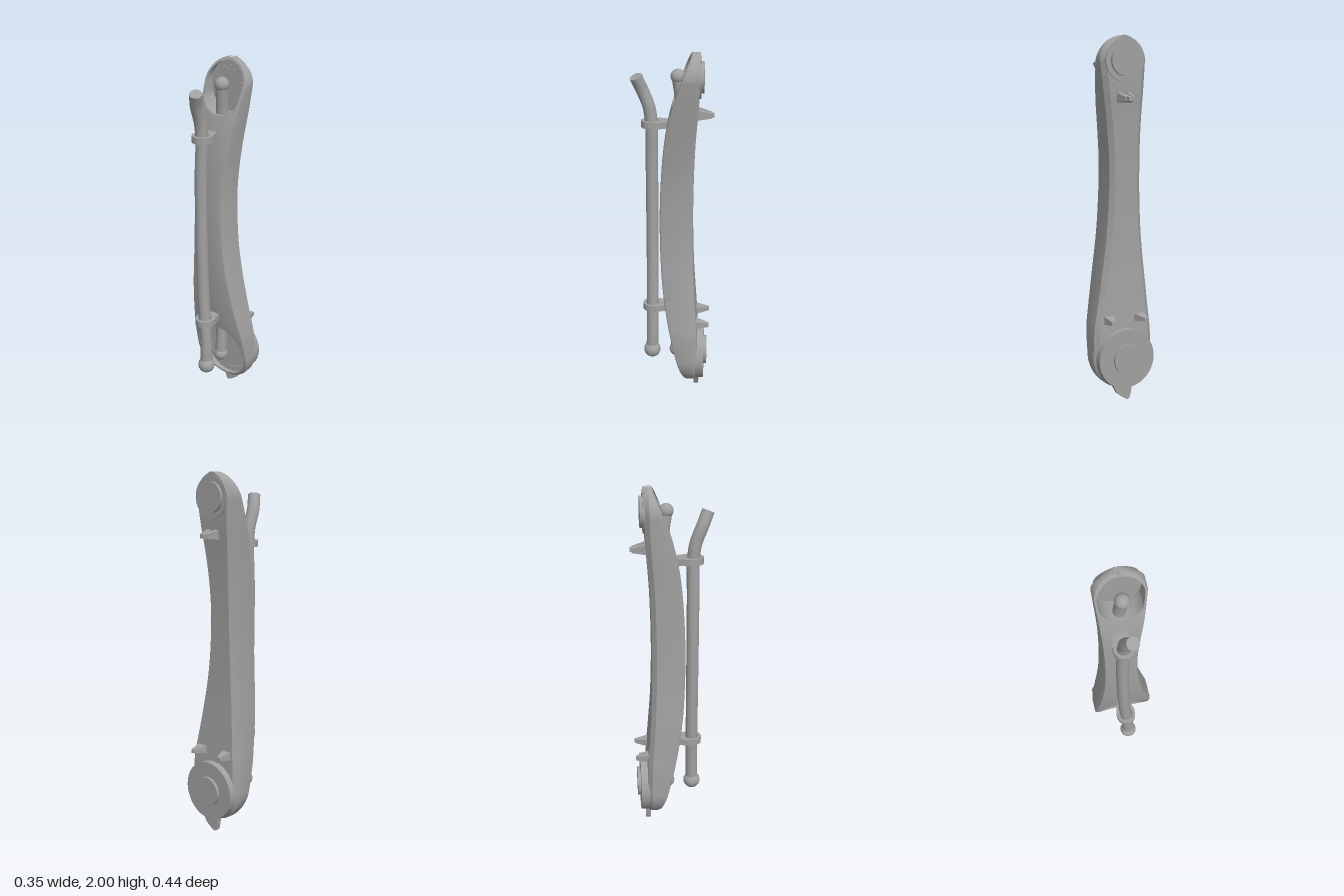
import * as THREE from 'three';
import { toCreasedNormals } from 'three/addons/utils/BufferGeometryUtils.js';

// Smooth interpolation through rows of [y, value, value, ...]
function sample(table, y, col) {
  let i = 0;
  while (i < table.length - 2 && y > table[i + 1][0]) i++;
  const slope = (k) => {
    const a = table[Math.max(k - 1, 0)], b = table[Math.min(k + 1, table.length - 1)];
    return (b[col] - a[col]) / (b[0] - a[0]);
  };
  const p = table[i], q = table[i + 1], h = q[0] - p[0];
  const t = THREE.MathUtils.clamp((y - p[0]) / h, 0, 1), t2 = t * t, t3 = t2 * t;
  return (2 * t3 - 3 * t2 + 1) * p[col] + (t3 - 2 * t2 + t) * h * slope(i)
    + (3 * t2 - 2 * t3) * q[col] + (t3 - t2) * h * slope(i + 1);
}

const LOW = { y: 0.245, r: 0.176 }, HIGH = { y: 1.868, r: 0.132 };
// y, width to the right (-x), width to the left (+x)
const WIDTH = [[0.245, 0.176, 0.176], [0.4, 0.171, 0.168], [0.5, 0.162, 0.15], [0.65, 0.15, 0.122],
  [0.9, 0.129, 0.083], [1.1, 0.12, 0.067], [1.3, 0.117, 0.064], [1.5, 0.118, 0.08],
  [1.7, 0.125, 0.108], [1.868, 0.132, 0.132]];
// y, front z, back z
const DEPTH = [[0.07, -0.09, -0.15], [0.2, -0.045, -0.15], [0.4, 0.003, -0.145], [0.6, 0.038, -0.132],
  [0.8, 0.058, -0.12], [1.1, 0.066, -0.114], [1.4, 0.053, -0.12], [1.6, 0.029, -0.132],
  [1.72, 0, -0.142], [1.88, -0.056, -0.148], [2, -0.105, -0.148]];
const FLOOR = -0.11;
const POCKETS = [{ y: 0.262, rx: 0.16, ry: 0.178 }, { y: 1.848, rx: 0.122, ry: 0.138 }];

function widthAt(y, col) {
  for (const [end, s] of [[LOW, -1], [HIGH, 1]]) {
    const d = (y - end.y) * s;
    if (d > 0) return Math.sqrt(Math.max(end.r ** 2 - d * d, 0));
  }
  return sample(WIDTH, y, col);
}

// One closed cross-section of the arm, with the end pockets cut into its front
function section(y) {
  const R = widthAt(y, 2), L = widthAt(y, 1);
  const zf = sample(DEPTH, y, 1), zb = sample(DEPTH, y, 2);
  const e = Math.min(0.012, R * 0.4), c = Math.min(0.025, R * 0.5);
  let pocket = 0, floor = zf;
  for (const p of POCKETS) {
    const d = (y - p.y) / p.ry;
    if (Math.abs(d) < 1) {
      pocket = p.rx * Math.sqrt(1 - d * d);
      floor = Math.min(FLOOR, zf - 0.003);
    }
  }
  const pr = Math.min(pocket, Math.max(R - e - 0.003, 0));
  const pl = Math.min(pocket, Math.max(L - e - 0.003, 0));
  return [[R - c, zb], [R, zb + c], [R, zf - e], [R - e * 0.3, zf - e * 0.3], [R - e, zf],
    [pr, zf], [pr, floor], [-pl, floor], [-pl, zf],
    [-L + e, zf], [-L + e * 0.3, zf - e * 0.3], [-L, zf - e], [-L, zb + c], [-L + c, zb]];
}

function armGeometry() {
  const ys = [];
  const spread = (a, b, n) => {
    for (let i = 0; i <= n; i++) ys.push(a + (b - a) * (1 - Math.cos(Math.PI * i / n)) / 2);
  };
  spread(LOW.y - LOW.r + 0.0005, 0.4399, 44);
  for (let i = 0; i <= 40; i++) ys.push(0.4401 + (1.7099 - 0.4401) * i / 40);
  spread(1.7101, 1.9999, 44);
  const pos = [], index = [];
  const n = 14;
  ys.forEach((y, i) => {
    for (const [x, z] of section(y)) pos.push(x, y, z);
    if (!i) return;
    for (let j = 0; j < n; j++) {
      const a = (i - 1) * n + j, b = (i - 1) * n + (j + 1) % n;
      index.push(a, a + n, b, b, a + n, b + n);
    }
  });
  const g = new THREE.BufferGeometry();
  g.setAttribute('position', new THREE.Float32BufferAttribute(pos, 3));
  g.setIndex(index);
  return toCreasedNormals(g, 0.6);
}

export function createModel() {
  const root = new THREE.Group();
  const grey = new THREE.MeshStandardMaterial({ color: 0xa0a0a0 });
  const add = (name, geometry, x = 0, y = 0, z = 0) => {
    const m = new THREE.Mesh(geometry, grey);
    m.name = name;
    m.position.set(x, y, z);
    root.add(m);
    return m;
  };
  // Disc facing along z, between two depths
  const disc = (name, r, x, y, z0, z1, sides = 48) =>
    add(name, new THREE.CylinderGeometry(r, r, z1 - z0, sides).rotateX(Math.PI / 2), x, y, (z0 + z1) / 2);
  const tube = (name, points, r) => {
    const path = new THREE.CatmullRomCurve3(points.map((p) => new THREE.Vector3(...p)));
    add(name, new THREE.TubeGeometry(path, 80, r, 20), 0, 0, 0);
    return path;
  };
  const ball = (name, r, x, y, z) => add(name, new THREE.SphereGeometry(r, 24, 16), x, y, z);

  add('arm', armGeometry());

  // Joint flanges on the back
  disc('upperFlange', 0.112, 0, HIGH.y, -0.153, -0.13);
  disc('upperHub', 0.083, 0, HIGH.y, -0.169, -0.13);
  disc('lowerFlange', 0.165, 0, LOW.y, -0.185, -0.13);
  disc('lowerHub', 0.082, 0, LOW.y, -0.202, -0.13);

  // Bolts in arcs on the pocket floors: centre y, radius, start and end angle, count
  for (const [cy, r, a0, a1, count] of [
    [0.245, 0.135, 5, 55, 6], [0.245, 0.135, 118, 142, 4], [0.245, 0.135, 190, 235, 6], [0.245, 0.135, 270, 320, 6],
    [1.862, 0.088, 62, 118, 5], [1.862, 0.088, 165, 212, 5], [1.862, 0.088, -32, 15, 5]]) {
    for (let i = 0; i < count; i++) {
      const a = THREE.MathUtils.degToRad(a0 + (a1 - a0) * i / (count - 1));
      const rr = cy > 1 && i % 2 ? r - 0.02 : r;
      disc('bolt', 0.011, rr * Math.cos(a), cy + rr * Math.sin(a), FLOOR - 0.002, FLOOR + 0.004, 8);
    }
  }

  // Cable running inside the arm, with a rounded end in each pocket
  tube('innerCable', [[0, 0.245, -0.025], [0, 0.45, -0.035], [-0.025, 1.1, -0.03], [-0.012, 1.7, -0.05], [0, 1.87, -0.03]], 0.033);
  ball('innerCableLowerEnd', 0.04, 0, 0.245, -0.025);
  ball('innerCableUpperEnd', 0.039, 0, 1.872, -0.03);

  // Outer cable on the front
  const path = tube('outerCable', [[0, 0.24, 0.117], [-0.004, 0.4, 0.114], [-0.014, 0.55, 0.113], [-0.024, 0.75, 0.112],
    [-0.032, 1.1, 0.112], [-0.032, 1.4, 0.112], [-0.025, 1.6, 0.112], [-0.025, 1.7, 0.124],
    [-0.022, 1.79, 0.158], [-0.001, 1.868, 0.19]], 0.034);
  ball('outerCableLowerEnd', 0.048, 0, 0.24, 0.117);
  const cap = add('outerCableUpperEnd', new THREE.CircleGeometry(0.034, 20), ...path.getPoint(1).toArray());
  cap.quaternion.setFromUnitVectors(new THREE.Vector3(0, 0, 1), path.getTangent(1));

  // Clamps holding the outer cable
  for (const [x, y] of [[-0.025, 1.61], [-0.012, 0.525]]) {
    const s = new THREE.Shape();
    s.moveTo(-0.032, -0.015);
    s.lineTo(0.032, -0.015);
    s.lineTo(0.055, -0.09);
    s.absarc(0, -0.113, 0.054, 0, -Math.PI, true);
    s.lineTo(-0.055, -0.09);
    s.closePath();
    const hole = new THREE.Path();
    hole.absarc(0, -0.113, 0.037, 0, Math.PI * 2, false);
    s.holes.push(hole);
    const g = new THREE.ExtrudeGeometry(s, { depth: 0.036, bevelEnabled: false, curveSegments: 16 });
    add('cableClamp', g.rotateX(-Math.PI / 2), x, y - 0.018, 0);
  }

  // Pointed lugs on the back: tapered four-sided spikes with the tip shifted by dx, dy
  const lug = (name, x, y, w, h, z0, z1, dx, dy, top) => {
    const g = new THREE.BoxGeometry(w, h, z0 - z1);
    const p = g.attributes.position;
    for (let i = 0; i < p.count; i++) {
      if (p.getZ(i) < 0) p.setXY(i, p.getX(i) * top + dx, p.getY(i) * 0.4 + dy);
    }
    g.computeVertexNormals();
    add(name, g, x, y, (z0 + z1) / 2);
  };
  lug('upperLugCentre', 0, 1.67, 0.034, 0.05, -0.125, -0.222, 0, -0.003, 0.75);
  for (const s of [-1, 1]) {
    lug('upperLugSide', s * 0.03, 1.675, 0.03, 0.06, -0.12, -0.21, -s * 0.008, -0.008, 0.3);
    lug('lowerLug', s * 0.088 - 0.004, 0.465, 0.075, 0.05, -0.12, -0.212, s * 0.012, -0.003, 0.25);
  }

  // Pointer below the lower joint
  const tip = new THREE.Shape([[-0.045, 0.1], [-0.04, 0.05], [-0.032, 0.012], [-0.018, 0], [0.015, 0.018],
    [0.045, 0.042], [0.075, 0.1]].map((p) => new THREE.Vector2(...p)));
  add('pointer', new THREE.ExtrudeGeometry(tip, { depth: 0.028, bevelEnabled: false }), 0, 0, -0.156);

  return root;
}
